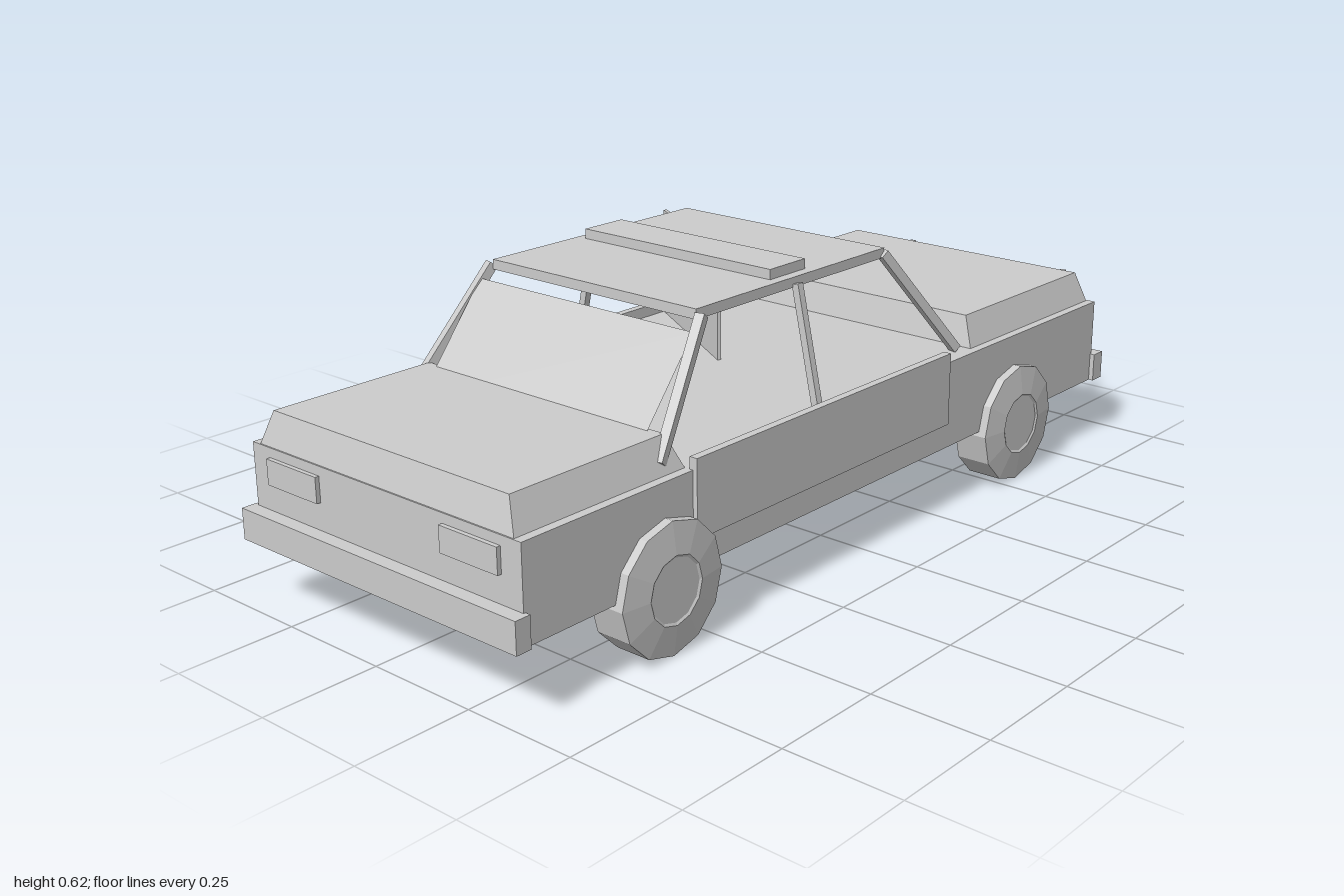
import * as THREE from 'three';

export function createModel() {
  const car = new THREE.Group();
  car.name = 'sedan';
  const grey = new THREE.MeshStandardMaterial({ color: 0xcccccc, flatShading: true, side: THREE.DoubleSide });
  grey.name = 'plain grey';

  const add = (name, geometry) => {
    const mesh = new THREE.Mesh(geometry, grey);
    mesh.name = name;
    car.add(mesh);
    return mesh;
  };

  // Box given by its extents on each axis
  const box = (name, x0, x1, y0, y1, z0, z1) => {
    const mesh = add(name, new THREE.BoxGeometry(x1 - x0, y1 - y0, z1 - z0));
    mesh.position.set((x0 + x1) / 2, (y0 + y1) / 2, (z0 + z1) / 2);
    return mesh;
  };

  // Box whose top face is drawn in on all sides
  const taperedBox = (name, halfX, topHalfX, y0, y1, z0, z1, topZ0, topZ1) => {
    const geometry = new THREE.BoxGeometry(1, 1, 1);
    const p = geometry.attributes.position;
    for (let i = 0; i < p.count; i++) {
      const top = p.getY(i) > 0;
      const back = p.getZ(i) < 0;
      p.setXYZ(i, Math.sign(p.getX(i)) * (top ? topHalfX : halfX), top ? y1 : y0,
        back ? (top ? topZ0 : z0) : (top ? topZ1 : z1));
    }
    geometry.computeVertexNormals();
    return add(name, geometry);
  };

  // Square bar between two points
  const bar = (name, from, to, size) => {
    const a = new THREE.Vector3(...from), b = new THREE.Vector3(...to);
    const mesh = add(name, new THREE.BoxGeometry(size, size, a.distanceTo(b)));
    mesh.position.copy(a).add(b).multiplyScalar(0.5);
    mesh.lookAt(b);
    return mesh;
  };

  const plate = (points, depth) => new THREE.ExtrudeGeometry(
    new THREE.Shape(points.map(([u, v]) => new THREE.Vector2(u, v))), { depth, bevelEnabled: false });

  // Body
  box('lowerBody', -0.368, 0.368, 0.145, 0.34, -0.905, 0.97);
  taperedBox('hood', 0.348, 0.322, 0.34, 0.408, 0.54, 0.967, 0.567, 0.95);
  taperedBox('trunk', 0.348, 0.322, 0.34, 0.408, -0.9, -0.402, -0.885, -0.418);
  box('frontBumper', -0.379, 0.379, 0.145, 0.21, 0.965, 1);
  box('rearBumper', -0.379, 0.379, 0.145, 0.21, -0.938, -0.9);
  box('underPlate', -0.29, 0.29, 0.137, 0.15, 0.28, 0.48);

  // Roof and roof sign
  box('roof', -0.276, 0.276, 0.582, 0.603, -0.168, 0.425);
  box('roofSign', -0.253, 0.253, 0.603, 0.624, 0.07, 0.18);

  // Windscreen
  const glass = add('windscreen', new THREE.PlaneGeometry(0.58, 0.27));
  glass.position.set(0, 0.461, 0.534);
  glass.rotation.x = -Math.atan2(0.125, 0.155);

  // Wheel profile: radius against distance from the wheel's middle
  const wheelGeometry = new THREE.LatheGeometry([
    [0, -0.046], [0.065, -0.046], [0.07, -0.049], [0.135, -0.04],
    [0.135, 0.04], [0.07, 0.049], [0.065, 0.046], [0, 0.046],
  ].map(([r, h]) => new THREE.Vector2(r, h)), 12);

  const doorShape = [[-0.28, 0.204], [0.5, 0.204], [0.54, 0.24], [0.54, 0.365], [-0.28, 0.365]];

  for (const s of [1, -1]) {
    const side = s > 0 ? 'left' : 'right';

    // Wheels
    for (const [end, z] of [['Front', 0.617], ['Rear', -0.552]]) {
      const wheel = add(side + end + 'Wheel', wheelGeometry);
      wheel.rotation.z = -Math.PI / 2;
      wheel.position.set(s * 0.347, 0.135, z);
    }

    // Door panel
    const door = add(side + 'Doors', plate(doorShape.map(([z, y]) => [-z, y]), 0.018));
    door.rotation.y = Math.PI / 2;
    door.position.x = s > 0 ? 0.36 : -0.378;

    // Window pillars
    bar(side + 'FrontPillar', [s * 0.285, 0.592, 0.42], [s * 0.335, 0.36, 0.595], 0.02);
    bar(side + 'MiddlePillar', [s * 0.28, 0.59, 0.128], [s * 0.335, 0.34, 0.128], 0.016);
    bar(side + 'RearPillar', [s * 0.275, 0.592, -0.163], [s * 0.328, 0.345, -0.37], 0.02);

    // Lamps
    const x0 = s > 0 ? 0.17 : -0.317, x1 = s > 0 ? 0.317 : -0.17;
    box(side + 'Headlight', x0, x1, 0.267, 0.32, 0.965, 0.979);
    box(side + 'TailLight', x0, x1, 0.257, 0.312, -0.917, -0.9);

    // Rear rack posts
    box(side + 'RackArm', s * 0.225 - 0.007, s * 0.225 + 0.007, 0.152, 0.165, -1, -0.93);
    box(side + 'RackPost', s * 0.225 - 0.007, s * 0.225 + 0.007, 0.155, 0.375, -1, -0.984);
  }
  box('rackCrossbar', -0.253, 0.253, 0.272, 0.286, -1, -0.986);

  // Slanted cabin partition, stepped at the top
  const length = 0.404;
  const partition = add('cabinPartition', plate([
    [0, 0.34], [length, 0.34], [length, 0.497], [length - 0.02, 0.497],
    [length - 0.02, 0.585], [0.02, 0.585], [0.02, 0.497], [0, 0.497],
  ], 0.008));
  partition.position.set(-0.367, 0, -0.193);
  partition.rotation.y = -Math.atan2(0.205, 0.348);

  return car;
}
